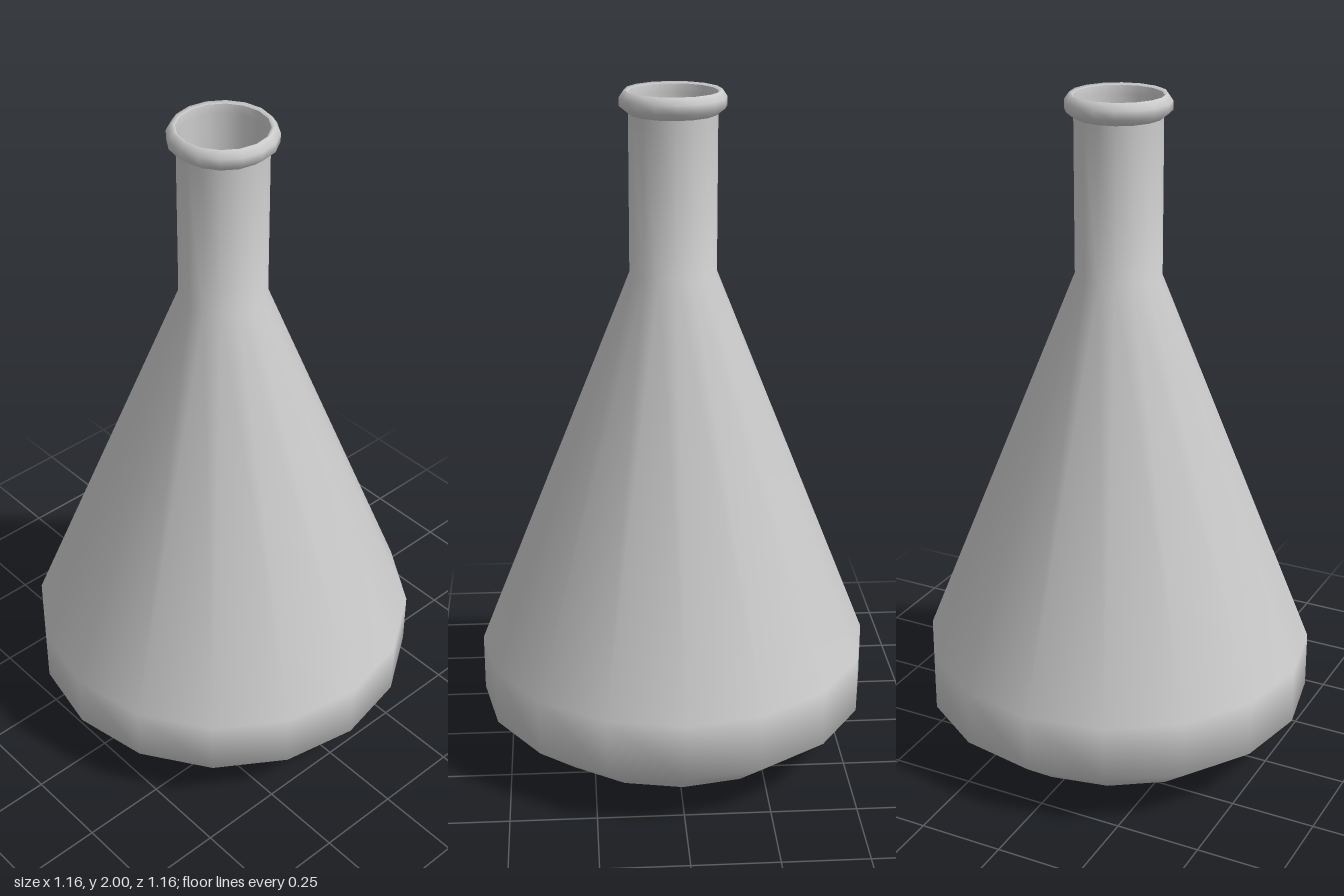
import * as THREE from 'three';

const SIDES = 16;

export function createModel() {
  const flask = new THREE.Group();
  flask.name = 'flask';
  const material = new THREE.MeshStandardMaterial({ color: 0xcccccc, side: THREE.DoubleSide });

  // Revolves a [radius, height] profile; separate parts keep a hard edge between them
  const revolve = (name, profile) => {
    const points = profile.map(([r, y]) => new THREE.Vector2(r, y));
    const mesh = new THREE.Mesh(new THREE.LatheGeometry(points, SIDES), material);
    mesh.name = name;
    flask.add(mesh);
  };

  // Shallow pointed underside
  revolve('base', [[0, 0.005], [0.44, 0.06]]);

  // Rounded lower wall, conical shoulder and straight neck
  revolve('body', [[0.44, 0.06], [0.58, 0.17], [0.58, 0.34], [0.125, 1.485], [0.125, 1.94]]);

  // Bevelled ring around the mouth
  revolve('lip', [[0.125, 1.935], [0.15, 1.955], [0.15, 1.98], [0.136, 2], [0.126, 1.995]]);

  // Inside of the neck, closed by a floor
  revolve('neckInside', [[0.126, 1.995], [0.122, 1.97], [0.122, 1.73]]);
  revolve('neckFloor', [[0.122, 1.73], [0, 1.73]]);

  return flask;
}
